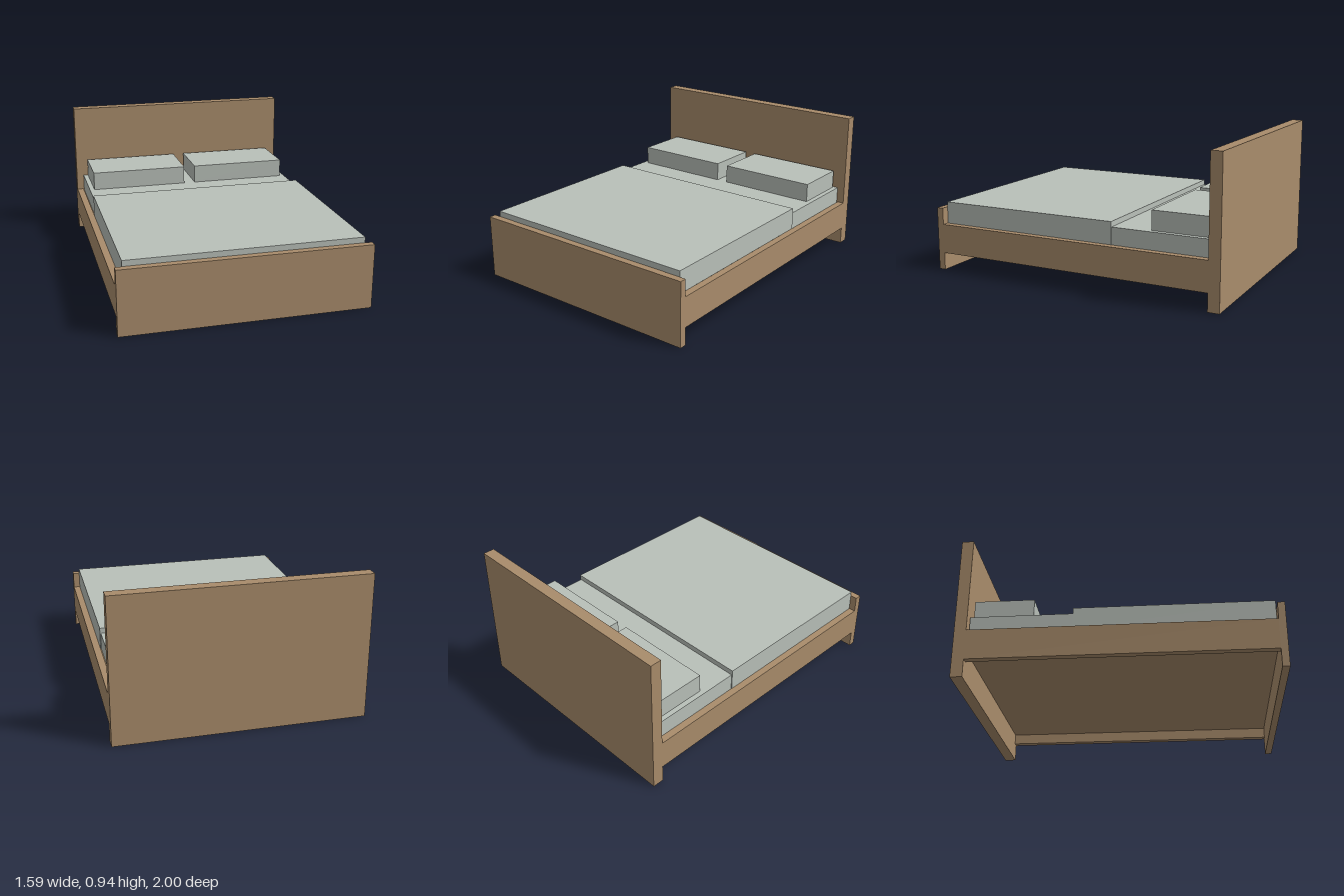
import * as THREE from 'three';

export function createModel() {
  const bed = new THREE.Group();
  bed.name = 'doubleBed';

  const wood = new THREE.MeshStandardMaterial({ color: 0xa98c6b });
  wood.name = 'wood';
  const linen = new THREE.MeshStandardMaterial({ color: 0xb9c0b9 });
  linen.name = 'linen';

  // Box given by its limits along each axis
  function block(name, material, [x0, x1], [y0, y1], [z0, z1]) {
    const mesh = new THREE.Mesh(new THREE.BoxGeometry(x1 - x0, y1 - y0, z1 - z0), material);
    mesh.position.set((x0 + x1) / 2, (y0 + y1) / 2, (z0 + z1) / 2);
    mesh.name = name;
    bed.add(mesh);
  }

  const W = 0.795;      // half width of the frame
  const inner = 0.75;   // inner face of the side rails
  const headZ = -0.925; // front face of the headboard
  const footZ = 0.955;  // inner face of the footboard

  // Frame
  block('headboard', wood, [-W, W], [0, 0.94], [-1, headZ]);
  block('footboard', wood, [-W, W], [0, 0.42], [footZ, 1]);
  block('bedBase', wood, [-inner, inner], [0.185, 0.305], [headZ, footZ]);

  // Bedding
  block('mattress', linen, [-0.745, 0.745], [0.305, 0.42], [-0.92, 0.945]);
  block('duvet', linen, [-0.751, 0.751], [0.311, 0.455], [-0.28, 0.95]);

  // Mirrored rails and pillows
  for (const [side, s] of [['left', 1], ['right', -1]]) {
    const span = (a, b) => (s > 0 ? [a, b] : [-b, -a]);
    block(side + 'Rail', wood, span(inner, W), [0.115, 0.31], [headZ, footZ]);
    block(side + 'Pillow', linen, span(0.04, 0.712), [0.42, 0.545], [-0.905, -0.53]);
  }
  return bed;
}
